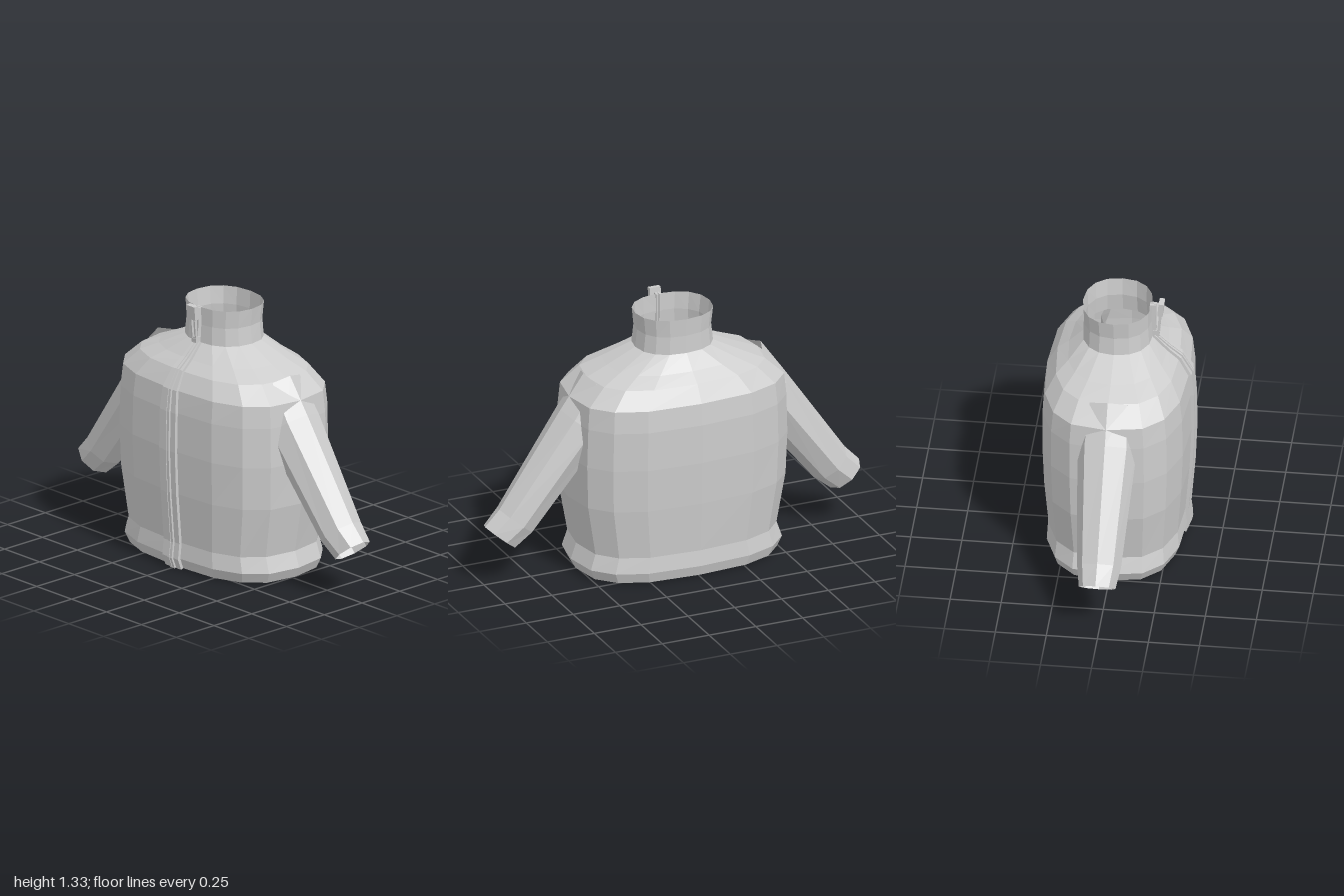
import * as THREE from 'three';

const fabric = new THREE.MeshStandardMaterial({ color: 0xcccccc, flatShading: true, side: THREE.DoubleSide });
fabric.name = 'greyFabric';

// Skins a list of closed cross-sections; optional flat caps at both ends
function loft(rings, capped = false) {
  const n = rings[0].length;
  const index = [];
  for (let i = 0; i < rings.length - 1; i++) {
    for (let j = 0; j < n; j++) {
      const k = (j + 1) % n;
      const a = i * n + j, b = i * n + k, c = a + n, d = b + n;
      index.push(a, c, b, b, c, d);
    }
  }
  if (capped) {
    const top = (rings.length - 1) * n;
    for (let j = 1; j < n - 1; j++) index.push(0, j, j + 1, top, top + j + 1, top + j);
  }
  const geometry = new THREE.BufferGeometry();
  geometry.setAttribute('position', new THREE.Float32BufferAttribute(rings.flat(2), 3));
  geometry.setIndex(index);
  geometry.computeVertexNormals();
  return geometry;
}

function addMesh(parent, name, geometry) {
  const mesh = new THREE.Mesh(geometry, fabric);
  mesh.name = name;
  parent.add(mesh);
  return mesh;
}

// Torso levels: y, half width, half depth, centre z, roundness exponent
const hem = [
  [0.01, 0.515, 0.325, -0.01, 0.72],
  [0.063, 0.54, 0.343, -0.008, 0.72],
  [0.143, 0.512, 0.334, -0.008, 0.72],
];
const torso = [
  hem[2],
  [0.4, 0.558, 0.355, -0.008, 0.72],
  [0.62, 0.566, 0.364, -0.008, 0.72],
  [0.82, 0.56, 0.362, -0.01, 0.72],
  [0.93, 0.55, 0.35, -0.01, 0.72],
];
const yoke = [
  torso[4],
  [1.015, 0.455, 0.3, -0.01, 0.74],
  [1.06, 0.35, 0.243, -0.01, 0.78],
  [1.13, 0.198, 0.172, -0.012, 0.88],
];
const collar = [
  yoke[3],
  [1.22, 0.188, 0.167, -0.013, 0.88],
  [1.31, 0.198, 0.17, -0.015, 0.88],
];

const power = (v, e) => Math.sign(v) * Math.pow(Math.abs(v), e);

function torsoRing([y, rx, rz, cz, e]) {
  return Array.from({ length: 16 }, (_, j) => {
    const a = (j / 16) * Math.PI * 2;
    return [rx * power(Math.cos(a), e), y, cz + rz * power(Math.sin(a), e)];
  });
}

// Strip that follows the front centre line; spans give its x edges
function frontStrip(levels, spanAt, inner, outer) {
  const path = levels.map(([y, , rz, cz]) => [y, cz + rz]);
  const rings = path.map(([y, z], i) => {
    const [y0, z0] = path[Math.max(i - 1, 0)];
    const [y1, z1] = path[Math.min(i + 1, path.length - 1)];
    const len = Math.hypot(y1 - y0, z1 - z0);
    const ny = -(z1 - z0) / len, nz = (y1 - y0) / len;
    const [x0, x1] = spanAt(y);
    const at = (x, d) => [x, y + ny * d, z + nz * d];
    return [at(x1, outer), at(x0, outer), at(x0, inner), at(x1, inner)];
  });
  return loft(rings, true);
}

// Sleeve levels: centre x, centre y, radius across the arm, radius in z
const sleeveLevels = [
  [0.373, 0.955, 0.13, 0.13],
  [0.495, 0.785, 0.13, 0.146],
  [0.84, 0.327, 0.106, 0.108],
];
const cuffLevels = [sleeveLevels[2], [0.922, 0.252, 0.099, 0.09]];

function sleeveRing([x, y, r, rz], side) {
  return Array.from({ length: 8 }, (_, j) => {
    const a = (j / 8) * Math.PI * 2;
    const u = r * Math.cos(a);
    return [side * (x + 0.774 * u), y + 0.633 * u, -0.01 - side * rz * Math.sin(a)];
  });
}

export function createModel() {
  const jacket = new THREE.Group();
  jacket.name = 'jacket';

  // Open shell of the garment
  addMesh(jacket, 'hemBand', loft(hem.map(torsoRing)));
  addMesh(jacket, 'torso', loft(torso.map(torsoRing)));
  addMesh(jacket, 'shoulderYoke', loft(yoke.map(torsoRing)));
  addMesh(jacket, 'collar', loft(collar.map(torsoRing)));

  // Sleeves with open cuffs
  for (const [label, side] of [['left', 1], ['right', -1]]) {
    addMesh(jacket, label + 'Sleeve', loft(sleeveLevels.map((l) => sleeveRing(l, side))));
    addMesh(jacket, label + 'Cuff', loft(cuffLevels.map((l) => sleeveRing(l, side))));
  }

  // Front closure: zip tapes flanked by flaps that narrow towards the collar
  const body = [...hem, ...torso.slice(1), ...yoke.slice(1)];
  const whole = [...body, ...collar.slice(1)];
  const taper = (y) => 1 - THREE.MathUtils.clamp((y - 0.88) / 0.26, 0, 1);
  for (const [label, side] of [['left', 1], ['right', -1]]) {
    const span = (a, b) => (side > 0 ? [a, b] : [-b, -a]);
    addMesh(jacket, label + 'ZipTape',
      frontStrip(whole, (y) => span(0.002, 0.013 + 0.004 * taper(y)), -0.012, 0.018));
    addMesh(jacket, label + 'PlacketFlap',
      frontStrip(body, (y) => span(0.015 + 0.007 * taper(y), 0.02 + 0.036 * taper(y)), -0.012, 0.012));
  }

  // Zip pull hanging proud of the collar
  const pull = new THREE.Group();
  pull.name = 'zipPull';
  addMesh(pull, 'pullTab', new THREE.BoxGeometry(0.058, 0.07, 0.026)).position.set(0, 0.06, 0);
  for (const x of [-0.012, 0.012]) {
    addMesh(pull, 'pullBar', new THREE.BoxGeometry(0.009, 0.12, 0.012)).position.set(x, -0.033, 0);
  }
  addMesh(pull, 'pullEnd', new THREE.BoxGeometry(0.033, 0.016, 0.014)).position.set(0, -0.085, 0);
  pull.position.set(0, 1.233, 0.192);
  pull.rotation.x = 0.09;
  jacket.add(pull);
  addMesh(jacket, 'zipSlider', new THREE.BoxGeometry(0.034, 0.03, 0.03)).position.set(0, 1.148, 0.175);

  return jacket;
}
